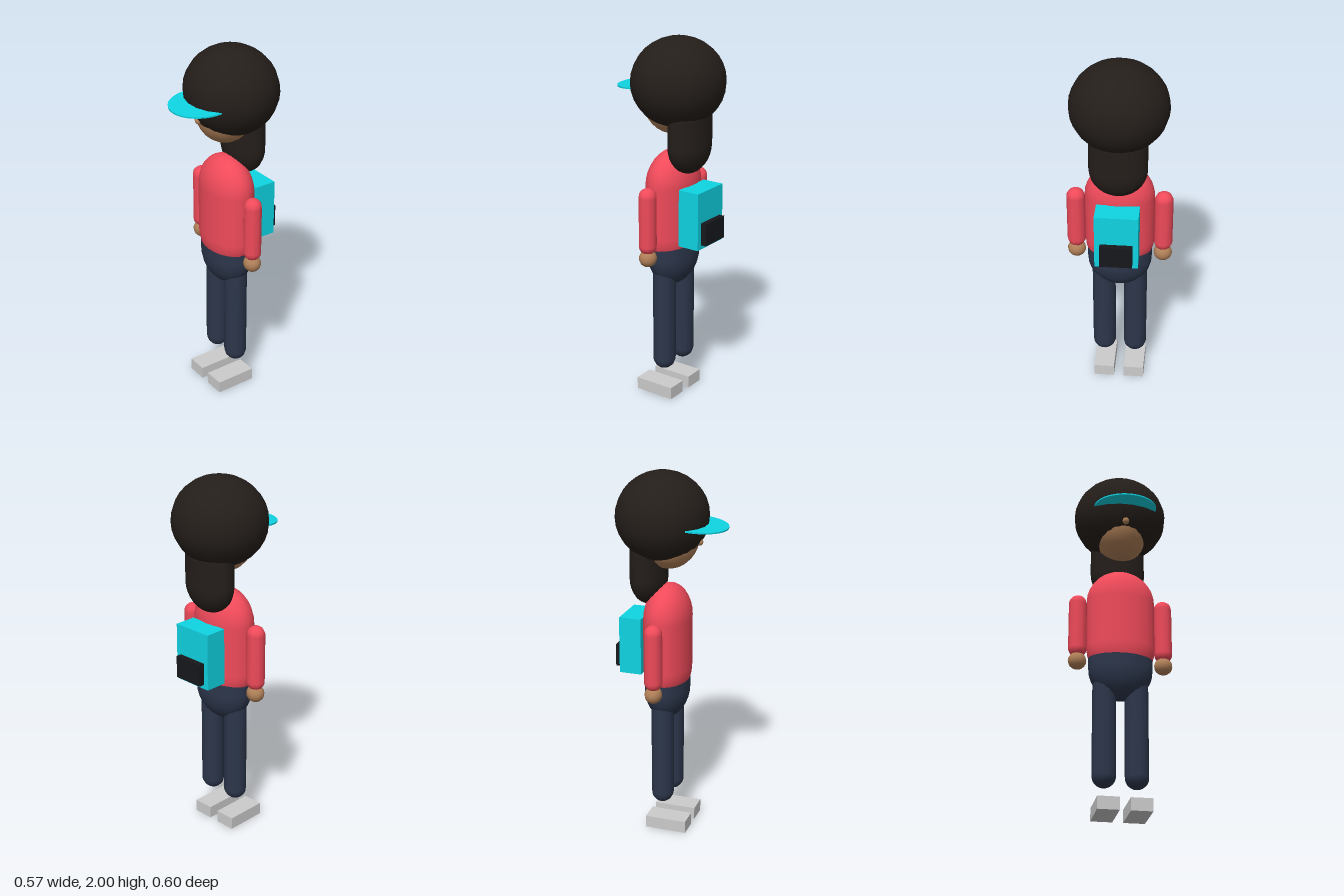
import * as THREE from 'three';

const mat = (color) => new THREE.MeshStandardMaterial({ color });
const hairMat = mat(0x241e1a);
const skinMat = mat(0xb08058);
const redMat = mat(0xf04a5a);
const navyMat = mat(0x2c364b);
const cyanMat = mat(0x0fd4e2);
const blackMat = mat(0x17181c);
const greyMat = mat(0xcccccc);

const BODY_Z = -0.027;

export function createModel() {
  const model = new THREE.Group();

  const add = (name, geometry, material, x, y, z) => {
    const mesh = new THREE.Mesh(geometry, material);
    mesh.name = name;
    mesh.position.set(x, y, z);
    model.add(mesh);
    return mesh;
  };

  // Upright capsule between two heights, flattened front to back
  const capsule = (name, material, r, bottom, top, x, z, depth = r, sides = 20) => {
    const geometry = new THREE.CapsuleGeometry(r, top - bottom - 2 * r, 8, sides);
    geometry.scale(1, 1, depth / r);
    return add(name, geometry, material, x, (bottom + top) / 2, z);
  };

  // Stretched sphere
  const ball = (name, material, rx, ry, rz, x, y, z, sides = 22, rings = 16) =>
    add(name, new THREE.SphereGeometry(1, sides, rings).scale(rx, ry, rz), material, x, y, z);

  // Head, nose and hair
  ball('head', skinMat, 0.155, 0.185, 0.165, 0, 1.67, -0.02);
  ball('nose', skinMat, 0.02, 0.02, 0.02, 0, 1.64, 0.148, 12, 8);
  ball('hair', hairMat, 0.258, 0.237, 0.247, 0, 1.763, -0.055);
  capsule('ponytail', hairMat, 0.153, 1.285, 1.73, 0, -0.13, 0.096);

  // Cap brim, a thin disc tipped down at the front
  const brim = add('capBrim', new THREE.CylinderGeometry(0.172, 0.172, 0.008, 40), cyanMat, 0, 1.733, 0.128);
  brim.rotation.x = 0.08;

  // Torso and hips
  capsule('torso', redMat, 0.187, 0.75, 1.4, 0, -0.025, 0.125, 24);
  capsule('hips', navyMat, 0.175, 0.64, 1.045, 0, BODY_Z, 0.118, 24);

  // Arms, hands, legs and shoes on both sides
  for (const [side, s] of [['left', 1], ['right', -1]]) {
    capsule(side + 'Sleeve', redMat, 0.05, 0.875, 1.24, s * 0.235, BODY_Z, 0.048, 10);
    ball(side + 'Hand', skinMat, 0.05, 0.048, 0.047, s * 0.235, 0.853, BODY_Z, 14, 10);
    capsule(side + 'Leg', navyMat, 0.064, 0.155, 0.8, s * 0.087, BODY_Z, 0.061, 14);
    add(side + 'Shoe', new THREE.BoxGeometry(0.114, 0.068, 0.23), greyMat, s * 0.085, 0.034, 0.006);
  }

  // Backpack with its front pocket
  add('backpack', new THREE.BoxGeometry(0.23, 0.312, 0.122), cyanMat, 0, 1.063, -0.201);
  add('backpackPocket', new THREE.BoxGeometry(0.172, 0.122, 0.04), blackMat, 0, 0.992, -0.274);

  return model;
}
